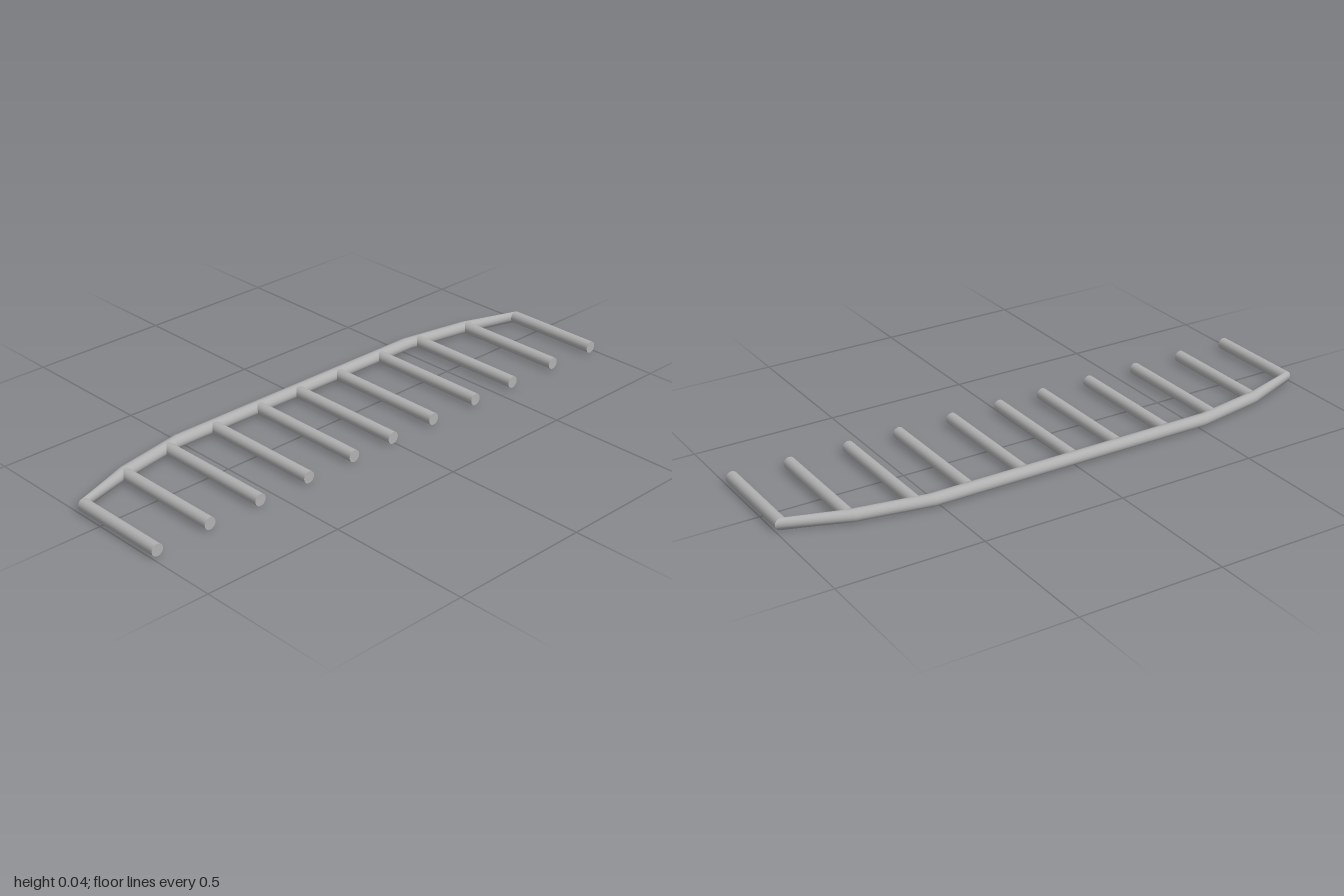
import * as THREE from 'three';

const R = 0.021;      // tube radius, also the height of every centre line
const SIDES = 20;

// Open tube between two oval rings, each given by its outer and inner [x, z] points
function tubeSegment(a, b) {
  const pos = [], normal = [], index = [];
  const dir = new THREE.Vector3((b[0][0] + b[1][0] - a[0][0] - a[1][0]) / 2, 0,
    (b[0][1] + b[1][1] - a[0][1] - a[1][1]) / 2).normalize();
  const out = new THREE.Vector3(dir.z, 0, -dir.x);   // sideways direction
  const reach = (a[0][0] - a[1][0]) * out.x + (a[0][1] - a[1][1]) * out.z;
  if (reach < 0) out.negate();
  for (let i = 0; i <= SIDES; i++) {
    const t = (i / SIDES) * Math.PI * 2, c = Math.cos(t), s = Math.sin(t);
    for (const [o, n] of [a, b]) {
      pos.push((o[0] + n[0]) / 2 + (o[0] - n[0]) / 2 * c, R + R * s,
        (o[1] + n[1]) / 2 + (o[1] - n[1]) / 2 * c);
      normal.push(out.x * c, s, out.z * c);
    }
    if (i < SIDES) {
      const k = i * 2;
      // outer side lies to the right of the run from back to front
      index.push(k, k + 2, k + 1, k + 1, k + 2, k + 3);
    }
  }
  const g = new THREE.BufferGeometry();
  g.setAttribute('position', new THREE.Float32BufferAttribute(pos, 3));
  g.setAttribute('normal', new THREE.Float32BufferAttribute(normal, 3));
  g.setIndex(index);
  // Make the winding agree with the outward normals
  const p = index.slice(0, 3).map(i => new THREE.Vector3().fromArray(pos, i * 3));
  const face = p[1].sub(p[0]).cross(p[2].sub(p[0]));
  if (face.dot(new THREE.Vector3().fromArray(normal, 0)) < 0) g.setIndex(index.reverse());
  return g;
}

export function createModel() {
  const model = new THREE.Group();
  model.name = 'comb';
  const grey = new THREE.MeshStandardMaterial({ color: 0xb0b0b0 });
  grey.name = 'plain grey';

  // Bent spine: rings from the middle outwards, mirrored front to back
  const half = [
    [[-0.248, 0.52], [-0.2, 0.53]],
    [[-0.2, 0.775], [-0.155, 0.785]],
    [[-0.11, 1.0], [-0.11, 0.958]],
  ];
  const mirrored = half.map(ring => ring.map(([x, z]) => [x, -z])).reverse();
  const rings = [...mirrored, ...half];
  const spine = new THREE.Group();
  spine.name = 'spine';
  for (let i = 0; i < rings.length - 1; i++) {
    const m = new THREE.Mesh(tubeSegment(rings[i], rings[i + 1]), grey);
    m.name = 'spineSegment';
    spine.add(m);
  }
  model.add(spine);

  // Straight round prong along x
  const addProng = (name, x0, x1, z) => {
    const m = new THREE.Mesh(new THREE.CylinderGeometry(R, R, x1 - x0, SIDES), grey);
    m.name = name;
    m.rotation.z = -Math.PI / 2;
    m.position.set((x0 + x1) / 2, R, z);
    model.add(m);
  };
  for (const z of [-0.979, 0.979]) addProng('endProng', -0.11, 0.248, z);
  for (const z of [-0.783, -0.572, -0.385, -0.182, 0.006, 0.18, 0.375, 0.575, 0.774]) {
    addProng('prong', Math.abs(z) > 0.7 ? -0.17 : -0.212, 0.24, z);
  }
  return model;
}
